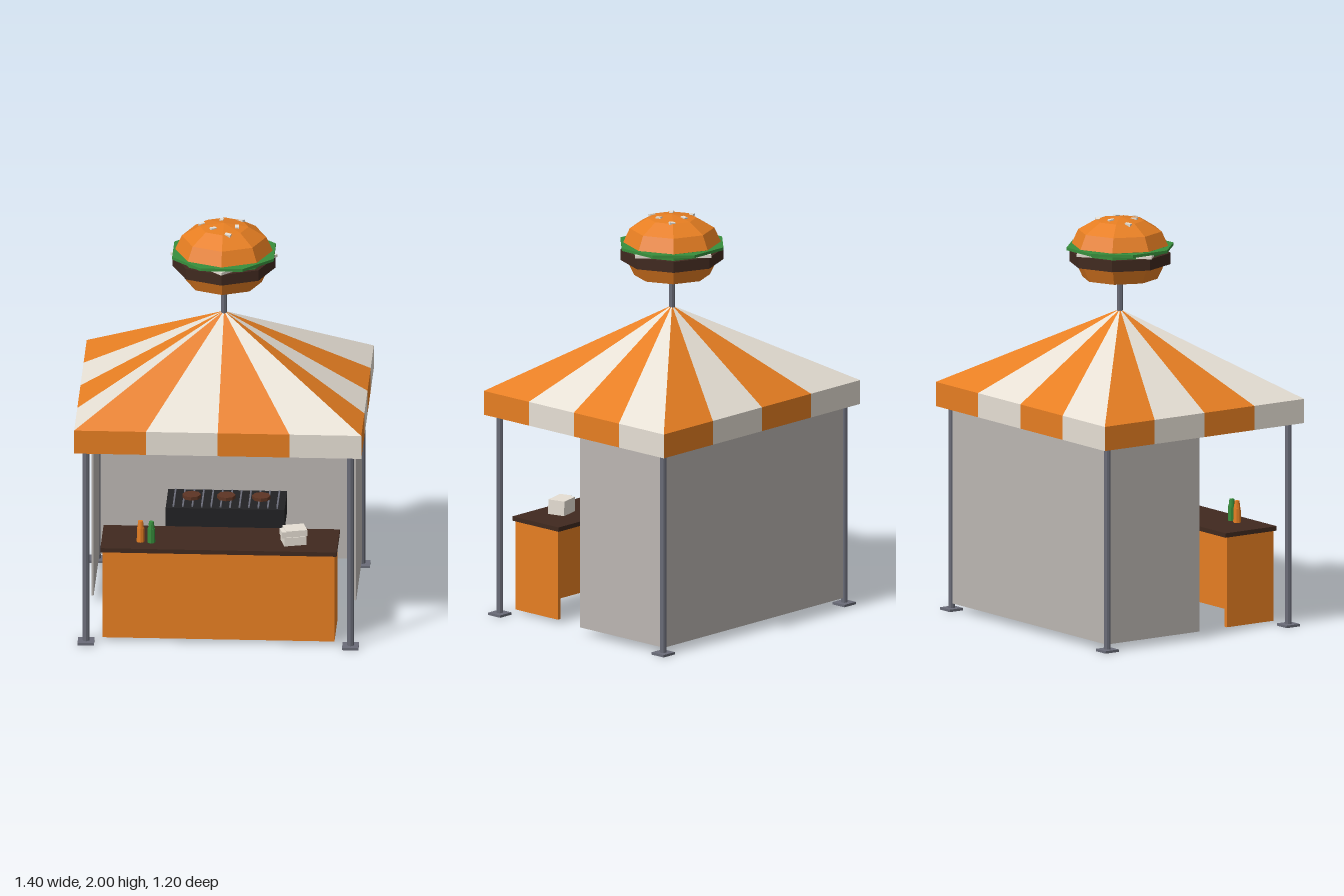
import * as THREE from 'three';

const mat = (name, color, double = false) => {
  const m = new THREE.MeshStandardMaterial({ color, flatShading: true });
  m.name = name;
  if (double) m.side = THREE.DoubleSide;
  return m;
};

export function createModel() {
  const orange = mat('orange', 0xe67e22, true);
  const cream = mat('cream', 0xe6dfd4, true);
  const wallGrey = mat('wallGrey', 0xbbb6b2);
  const steel = mat('steel', 0x6a6c78);
  const darkBrown = mat('darkBrown', 0x40291f);
  const green = mat('green', 0x388e3c);
  const black = mat('black', 0x222224);
  const meat = mat('meat', 0x5d3524);

  const model = new THREE.Group();
  model.name = 'foodStall';

  const group = (name) => {
    const g = new THREE.Group();
    g.name = name;
    model.add(g);
    return g;
  };
  const add = (parent, name, geometry, material, x = 0, y = 0, z = 0) => {
    const m = new THREE.Mesh(geometry, material);
    m.name = name;
    m.position.set(x, y, z);
    parent.add(m);
    return m;
  };
  // box given by its limits on each axis
  const box = (parent, name, material, [x0, x1], [y0, y1], [z0, z1]) =>
    add(parent, name, new THREE.BoxGeometry(x1 - x0, y1 - y0, z1 - z0), material,
      (x0 + x1) / 2, (y0 + y1) / 2, (z0 + z1) / 2);
  // faceted cylinder standing between two heights
  const drum = (parent, name, material, rBottom, rTop, y0, y1, x = 0, z = 0, sides = 8) =>
    add(parent, name, new THREE.CylinderGeometry(rTop, rBottom, y1 - y0, sides), material,
      x, (y0 + y1) / 2, z);

  // Frame: four posts with foot plates, joined by rails
  const frame = group('frame');
  for (const x of [-0.645, 0.645]) {
    for (const z of [-0.545, 0.545]) {
      drum(frame, 'post', steel, 0.0165, 0.0165, 0.005, 1.12, x, z);
      box(frame, 'footPlate', steel, [x - 0.04, x + 0.04], [0, 0.012], [z - 0.04, z + 0.04]);
    }
    box(frame, 'sideRail', steel, [x - 0.012, x + 0.012], [1.02, 1.044], [-0.545, 0.545]);
  }
  for (const z of [-0.545, 0.545])
    box(frame, 'crossRail', steel, [-0.645, 0.645], [1.02, 1.044], [z - 0.012, z + 0.012]);

  // Striped canopy: points round the eaves, four stripes to a side
  const corners = [[-0.7, 0.6], [0.7, 0.6], [0.7, -0.6], [-0.7, -0.6]];
  const rim = [];
  corners.forEach(([x, z], i) => {
    const [nx, nz] = corners[(i + 1) % 4];
    for (let k = 0; k < 4; k++) rim.push([x + (nx - x) * k / 4, z + (nz - z) * k / 4]);
  });
  const canopy = group('canopy');
  const eave = 1.13, hem = 1.01, apex = 1.535;
  [orange, cream].forEach((material, odd) => {
    const roof = [], valance = [];
    for (let i = odd; i < 16; i += 2) {
      const [ax, az] = rim[i], [bx, bz] = rim[(i + 1) % 16];
      roof.push(ax, eave, az, bx, eave, bz, 0, apex, 0);
      valance.push(ax, hem, az, bx, hem, bz, bx, eave, bz,
        ax, hem, az, bx, eave, bz, ax, eave, az);
    }
    for (const [name, points] of [['roofStripes', roof], ['valanceStripes', valance]]) {
      const g = new THREE.BufferGeometry();
      g.setAttribute('position', new THREE.Float32BufferAttribute(points, 3));
      g.computeVertexNormals();
      add(canopy, name, g, material);
    }
  });

  // Back wall and two half-depth side walls
  const walls = group('walls');
  box(walls, 'backWall', wallGrey, [-0.64, 0.64], [0.035, 1.06], [-0.55, -0.54]);
  for (const x of [-0.64, 0.64])
    box(walls, 'sideWall', wallGrey, [x - 0.005, x + 0.005], [0.035, 1.06], [-0.545, 0.01]);

  // Serving counter, open at the back and below
  const counter = group('counter');
  box(counter, 'counterTop', darkBrown, [-0.576, 0.576], [0.465, 0.487], [0.217, 0.525]);
  box(counter, 'frontPanel', orange, [-0.565, 0.565], [0.017, 0.465], [0.497, 0.515]);
  for (const s of [-1, 1])
    box(counter, 'endPanel', orange, [s * 0.556 - 0.009, s * 0.556 + 0.009], [0.017, 0.465], [0.233, 0.497]);

  // Sauce bottles
  const bottles = group('sauceBottles');
  for (const [x, z, material] of [[-0.385, 0.425, orange], [-0.332, 0.432, green]]) {
    drum(bottles, 'bottleBody', material, 0.019, 0.018, 0.487, 0.56, x, z);
    drum(bottles, 'bottleNozzle', material, 0.016, 0.012, 0.56, 0.595, x, z);
  }

  // Takeaway carton
  const carton = group('carton');
  carton.position.set(0.36, 0.487, 0.4);
  carton.rotation.y = 0.25;
  box(carton, 'cartonBase', cream, [-0.055, 0.055], [0, 0.043], [-0.045, 0.045]);
  box(carton, 'cartonLid', cream, [-0.045, 0.06], [0.043, 0.075], [-0.05, 0.04]);
  box(carton, 'cartonFlap', cream, [-0.066, -0.045], [0.043, 0.073], [-0.02, 0.045]);

  // Grill with legs, bars and cooking patties
  const grill = group('grill');
  box(grill, 'grillBody', black, [-0.29, 0.29], [0.35, 0.455], [-0.355, -0.105]);
  for (const x of [-0.257, 0.257])
    for (const z of [-0.33, -0.13])
      box(grill, 'grillLeg', black, [x - 0.01, x + 0.01], [0.004, 0.35], [z - 0.01, z + 0.01]);
  for (let i = 0; i < 12; i++) {
    const x = -0.253 + i * 0.046;
    box(grill, 'grillBar', steel, [x - 0.004, x + 0.004], [0.455, 0.463], [-0.34, -0.12]);
  }
  for (const x of [-0.17, 0, 0.17])
    drum(grill, 'grillPatty', meat, 0.045, 0.045, 0.463, 0.48, x, -0.23);

  // Giant burger on a mast
  const burger = group('burgerSign');
  drum(burger, 'mast', steel, 0.0145, 0.0145, 1.5, 1.72);
  drum(burger, 'bottomBun', orange, 0.185, 0.22, 1.69, 1.765);
  drum(burger, 'patty', darkBrown, 0.25, 0.25, 1.765, 1.82);
  drum(burger, 'cheese', cream, 0.262, 0.262, 1.822, 1.836, 0, 0, 4);
  const lettuce = drum(burger, 'lettuce', green, 0.268, 0.268, 1.838, 1.852);
  lettuce.rotation.y = Math.PI / 8;
  drum(burger, 'lettuceCore', green, 0.23, 0.23, 1.82, 1.856);
  const dome = new THREE.SphereGeometry(0.238, 8, 3, 0, Math.PI * 2, 0, Math.PI / 2);
  add(burger, 'topBun', dome, orange, 0, 1.855, 0).scale.y = 0.14 / 0.238;

  // Sesame seeds scattered on the crown
  const seeds = [[-0.11, -0.03], [-0.015, -0.065], [0.08, -0.075], [-0.05, 0.05], [0.065, 0.025], [0.025, 0.11]];
  seeds.forEach(([x, z], i) => {
    const r = Math.hypot(x, z);
    const y = 1.994 - r * 0.16 - Math.max(0, r - 0.11) * 0.4;
    const seed = add(burger, 'sesameSeed', new THREE.BoxGeometry(0.03, 0.013, 0.019), cream, x, y, z);
    seed.rotation.set(z * 1.5, 0.4 + i * 1.1, -x * 1.5);
  });

  return model;
}
